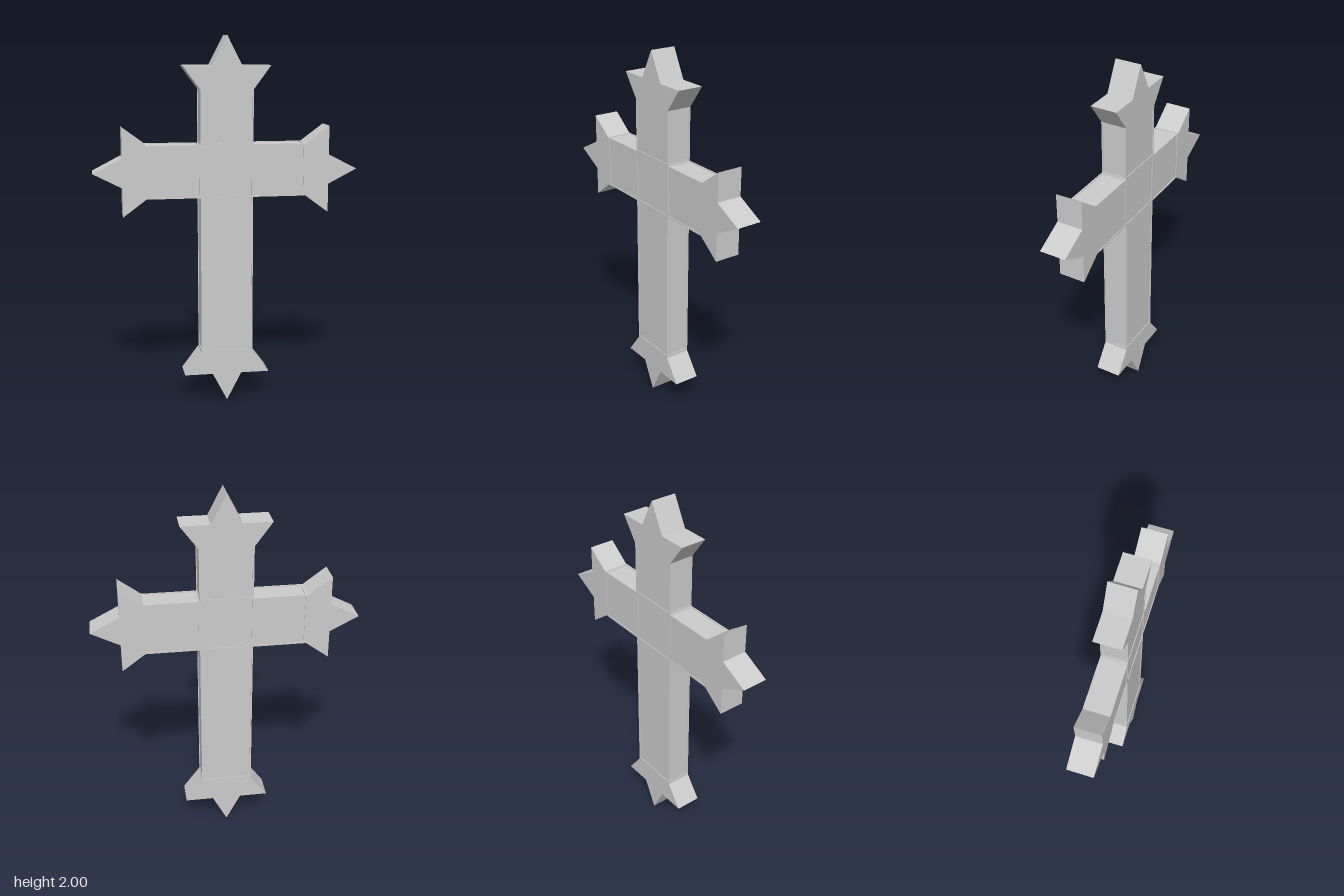
import * as THREE from 'three';

const W = 0.142;      // half width of the bars
const T = 0.071;      // half thickness
const D = 0.004;      // depth of the recessed panels
const RIM = 0.008;    // width of the rim around a panel
const CENTRE_Y = 1.289;

const material = new THREE.MeshStandardMaterial({ color: 0xcccccc, flatShading: true });

function addMesh(parent, name, geometry) {
  const mesh = new THREE.Mesh(geometry, material);
  mesh.name = name;
  parent.add(mesh);
  return mesh;
}

function rectangle(PathType, halfW, y0, y1) {
  return new PathType([
    new THREE.Vector2(-halfW, y0), new THREE.Vector2(halfW, y0),
    new THREE.Vector2(halfW, y1), new THREE.Vector2(-halfW, y1),
  ]);
}

// Thin rim around a recessed panel, rising from z = 0 to z = D
function rimGeometry(halfW, y0, y1, rimSide, rimStart, rimEnd) {
  const shape = rectangle(THREE.Shape, halfW, y0, y1);
  shape.holes.push(rectangle(THREE.Path, halfW - rimSide, y0 + rimStart, y1 - rimEnd));
  return new THREE.ExtrudeGeometry(shape, { depth: D, bevelEnabled: false });
}

// Bar section along +y with a recessed panel on each exposed face
function panelledBar(parent, y0, y1, withSides, rimEnd) {
  const core = addMesh(parent, 'barCore',
    new THREE.BoxGeometry(2 * (W - D), y1 - y0, 2 * (T - D)));
  core.position.y = (y0 + y1) / 2;
  for (let i = 0; i < 4; i++) {
    const isSide = i % 2 === 1;
    if (isSide && !withSides) continue;
    const geometry = isSide
      ? rimGeometry(T - D, y0, y1, RIM - D, RIM, rimEnd)
      : rimGeometry(W, y0, y1, RIM, RIM, rimEnd);
    geometry.translate(0, 0, isSide ? W - D : T - D);
    geometry.rotateY(i * Math.PI / 2);
    addMesh(parent, isSide ? 'sidePanelRim' : 'facePanelRim', geometry);
  }
}

// Pointed star end; y = 0 is where it meets the bar
function starGeometry() {
  const half = [[W, 0], [0.235, 0.125], [0.08, 0.125]];
  const points = [
    ...half, [0, 0.28],
    ...half.map(([x, y]) => [-x, y]).reverse(),
  ].map(([x, y]) => new THREE.Vector2(x, y));
  const geometry = new THREE.ExtrudeGeometry(new THREE.Shape(points),
    { depth: 2 * T, bevelEnabled: false });
  return geometry.translate(0, 0, -T);
}

export function createModel() {
  const model = new THREE.Group();
  model.name = 'cross';

  // Square block where the bars meet
  const centre = new THREE.Group();
  centre.name = 'centreBlock';
  centre.position.y = CENTRE_Y;
  panelledBar(centre, -W, W, false, RIM);
  model.add(centre);

  // Four arms, each built along +y and turned into place
  const arms = [
    ['topArm', 0.431, 0],
    ['rightArm', 0.431, Math.PI / 2],
    ['bottomArm', CENTRE_Y - 0.28, Math.PI],
    ['leftArm', 0.431, -Math.PI / 2],
  ];
  for (const [name, end, angle] of arms) {
    const arm = new THREE.Group();
    arm.name = name;
    arm.position.y = CENTRE_Y;
    arm.rotation.z = angle;
    panelledBar(arm, W, end, true, 0.014);
    addMesh(arm, 'starEnd', starGeometry()).position.y = end;
    model.add(arm);
  }
  return model;
}
